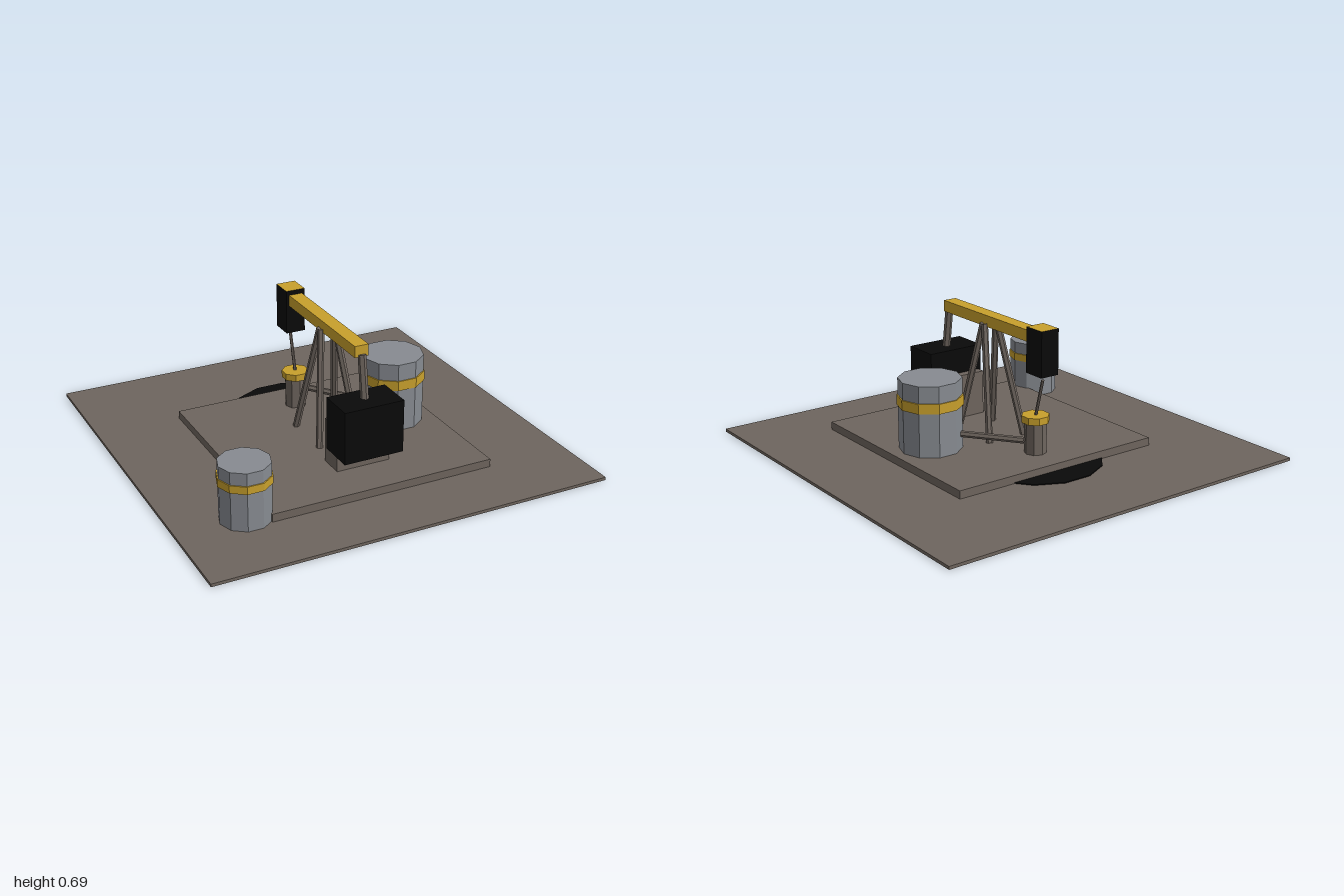
import * as THREE from 'three';

export function createModel() {
  const root = new THREE.Group();
  root.name = 'oilPump';

  const mat = (name, color) => {
    const m = new THREE.MeshStandardMaterial({ color, flatShading: true });
    m.name = name;
    return m;
  };
  const earth = mat('earthBrown', 0x6e655e);
  const steel = mat('tankGrey', 0x878b91);
  const yellow = mat('safetyYellow', 0xc8a02c);
  const black = mat('oilBlack', 0x0a0a0a);

  const add = (name, geometry, material, parent = root) => {
    const mesh = new THREE.Mesh(geometry, material);
    mesh.name = name;
    parent.add(mesh);
    return mesh;
  };

  // Box given by its lower and upper limits on each axis
  const box = (name, [x0, x1], [y0, y1], [z0, z1], material) => {
    const mesh = add(name, new THREE.BoxGeometry(x1 - x0, y1 - y0, z1 - z0), material);
    mesh.position.set((x0 + x1) / 2, (y0 + y1) / 2, (z0 + z1) / 2);
    return mesh;
  };

  // Upright faceted cylinder between two heights
  const drum = (name, x, z, r, y0, y1, sides, material, turn = 0, parent = root) => {
    const mesh = add(name, new THREE.CylinderGeometry(r, r, y1 - y0, sides), material, parent);
    mesh.position.set(x, (y0 + y1) / 2, z);
    mesh.rotation.y = turn;
    return mesh;
  };

  // Straight rod between two points
  const rod = (name, from, to, r, sides = 6) => {
    const a = new THREE.Vector3(...from), b = new THREE.Vector3(...to);
    const dir = b.clone().sub(a);
    const mesh = add(name, new THREE.CylinderGeometry(r, r, dir.length(), sides), earth);
    mesh.position.copy(a).add(b).multiplyScalar(0.5);
    mesh.quaternion.setFromUnitVectors(new THREE.Vector3(0, 1, 0), dir.normalize());
    return mesh;
  };

  // Ground, spill and foundation pad
  box('ground', [-1, 1], [0, 0.015], [-1, 1], earth);
  drum('oilSpill', 0, -0.28, 0.33, 0.003, 0.02, 14, black, Math.PI / 14);
  box('pad', [-0.57, 0.57], [0.015, 0.055], [-0.465, 0.67], earth);

  // Storage tanks, each with a painted band
  const tank = (name, x, z, r, y0, y1, band0, band1) => {
    const group = new THREE.Group();
    group.name = name;
    root.add(group);
    const turn = Math.PI / 10;
    drum('tankBody', x, z, r, y0, y1, 10, steel, turn, group);
    drum('tankBand', x, z, r + 0.006, band0, band1, 10, yellow, turn, group);
  };
  tank('largeTank', 0.365, 0.07, 0.155, 0.055, 0.41, 0.275, 0.325);
  tank('smallTank', -0.66, 0.58, 0.124, 0.015, 0.305, 0.205, 0.243);

  // Four splayed legs under the beam
  for (const sx of [-1, 1]) {
    for (const sz of [-1, 1]) {
      rod('supportLeg', [sx * 0.038, 0.618, 0.08 + sz * 0.006], [sx * 0.105, 0.055, 0.075 + sz * 0.13], 0.017);
    }
  }

  // Walking beam and its head; the head has a yellow top
  box('walkingBeam', [-0.035, 0.035], [0.605, 0.662], [-0.3, 0.425], yellow);
  box('beamHead', [-0.05, 0.05], [0.46, 0.685], [-0.387, -0.272],
    [black, black, yellow, black, black, black]);

  // Drive: gearbox, counterweight and connecting arm
  box('gearbox', [-0.138, 0.138], [0.055, 0.28], [0.33, 0.455], earth);
  box('counterweight', [-0.153, 0.153], [0.145, 0.41], [0.373, 0.56], black);
  rod('connectingArm', [0, 0.617, 0.428], [0, 0.3, 0.475], 0.02);

  // Wellhead with flange, pump rod and outlet pipe
  drum('wellhead', 0, -0.282, 0.055, 0.055, 0.215, 8, earth);
  drum('wellheadFlange', 0, -0.282, 0.069, 0.21, 0.245, 8, yellow, Math.PI / 8);
  rod('pumpRod', [0, 0.24, -0.284], [0, 0.43, -0.335], 0.008);
  rod('outletPipe', [0.07, 0.13, -0.285], [0.29, 0.13, 0.01], 0.016);

  return root;
}
